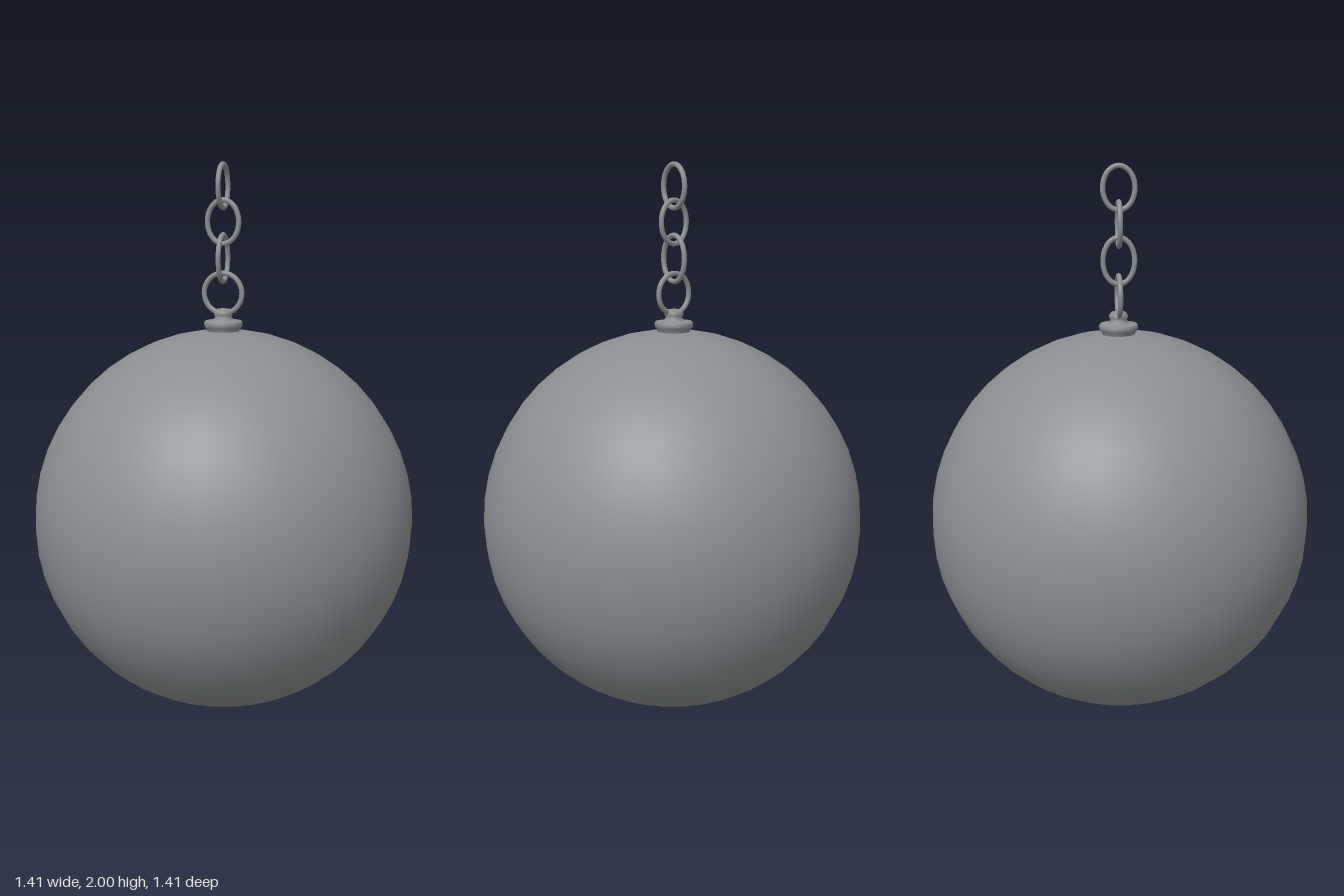
import * as THREE from 'three';

export function createModel() {
  const group = new THREE.Group();
  const iron = new THREE.MeshStandardMaterial({ color: 0x8a8e91 });
  iron.name = 'iron grey';

  const add = (name, geometry, x, y, z) => {
    const mesh = new THREE.Mesh(geometry, iron);
    mesh.name = name;
    mesh.position.set(x, y, z);
    group.add(mesh);
    return mesh;
  };

  // Heavy ball
  add('ball', new THREE.SphereGeometry(0.703, 32, 24), 0, 0.703, 0);

  // Flared cap with a short rounded neck; doubled points keep edges crisp
  const capProfile = [
    [0, 1.39], [0.056, 1.39], [0.056, 1.39], [0.06, 1.408], [0.068, 1.417],
    [0.07, 1.425], [0.07, 1.434], [0.066, 1.439], [0.04, 1.443], [0.04, 1.443],
    [0.029, 1.452], [0.034, 1.462], [0.034, 1.47], [0.026, 1.481], [0, 1.485],
  ].map(([r, y]) => new THREE.Vector2(r, y));
  add('cap', new THREE.LatheGeometry(capProfile, 24), -0.003, 0, -0.005);

  // Chain links: centre height, outer half width, outer half height, turned
  const tube = 0.0095;
  const links = [
    [1.538, 0.081, 0.082, false],
    [1.663, 0.066, 0.092, true],
    [1.791, 0.068, 0.086, false],
    [1.915, 0.066, 0.085, true],
  ];
  links.forEach(([y, halfWidth, halfHeight, turned], i) => {
    const points = [];
    for (let k = 0; k < 20; k++) {
      const a = (k / 20) * Math.PI * 2;
      points.push(new THREE.Vector3(
        Math.cos(a) * (halfWidth - tube), Math.sin(a) * (halfHeight - tube), 0));
    }
    const path = new THREE.CatmullRomCurve3(points, true);
    const link = add('chainLink' + (i + 1), new THREE.TubeGeometry(path, 32, tube, 10, true), -0.004, y, -0.004);
    if (turned) link.rotation.y = Math.PI / 2;
  });

  return group;
}
